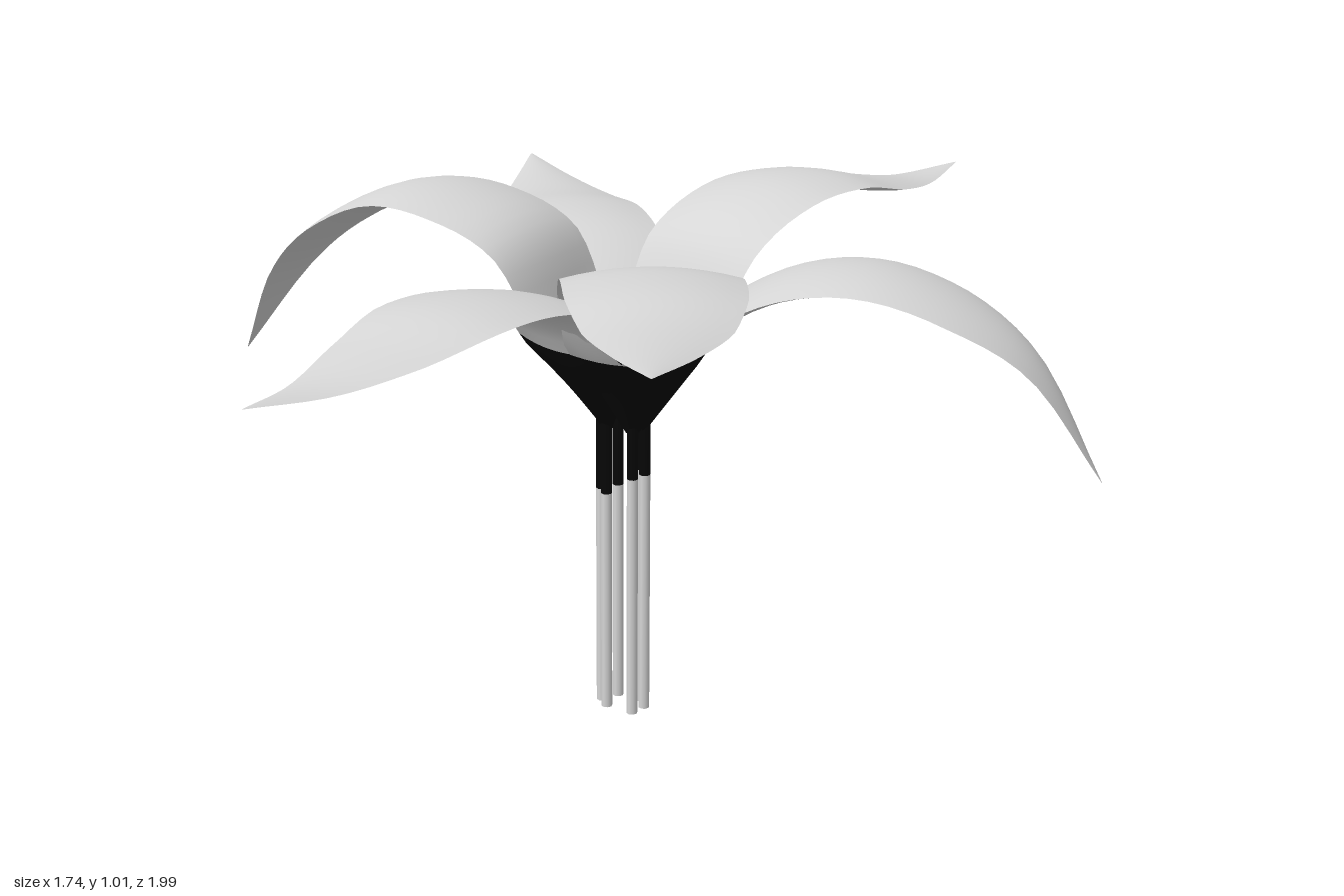
import * as THREE from 'three';

const pale = new THREE.MeshStandardMaterial({ color: 0xd6d6d6, side: THREE.DoubleSide });
pale.name = 'pale grey';
const black = new THREE.MeshStandardMaterial({ color: 0x070707, side: THREE.DoubleSide });
black.name = 'black';

const STEM_TOP = 0.58;
// Fractions of the way out from foot to tip where the midrib is set
const REACH = [0, 0.05, 0.1, 0.18, 0.33, 0.5, 0.68, 0.84, 1];

// foot and tip are [x, z]; heights follow the last six REACH fractions;
// full broadens the outer half; bow bends the midrib sideways
const LEAVES = [
  { name: 'leftArchingLeaf', foot: [-0.035, 0], tip: [-0.87, 0.085], half: 0.16, full: 1, bow: 0,
    heights: [0.925, 0.98, 0.99, 0.925, 0.815, 0.62] },
  { name: 'rightArchingLeaf', foot: [0.055, -0.015], tip: [0.87, -0.27], half: 0.157, full: 1, bow: 0,
    heights: [0.82, 0.89, 0.905, 0.86, 0.77, 0.56] },
  { name: 'frontLeaf', foot: [-0.01, 0.02], tip: [-0.01, 0.99], half: 0.142, full: 0, bow: 0,
    heights: [0.85, 0.897, 0.907, 0.88, 0.864, 0.875] },
  { name: 'backLeaf', foot: [0.03, -0.04], tip: [0.21, -1], half: 0.142, full: 0.2, bow: 0,
    heights: [0.91, 0.975, 0.985, 0.952, 0.936, 0.95] },
  { name: 'frontRightLeaf', foot: [0.05, 0.02], tip: [0.62, 0.83], half: 0.155, full: 0.3, bow: 0.025,
    heights: [0.9, 0.965, 0.978, 0.966, 0.973, 0.99] },
  { name: 'backLeftLeaf', foot: [-0.02, -0.035], tip: [-0.73, -0.73], half: 0.152, full: 0.3, bow: 0,
    heights: [0.79, 0.868, 0.887, 0.878, 0.888, 0.91] },
];

// Lens-section blade: an upper and a lower skin meeting at the edges
function bladeGeometry({ foot, tip, half, full, bow, heights }) {
  const rows = 36, cols = 10, stride = cols + 1;
  const start = new THREE.Vector3(foot[0], 0, foot[1]);
  const end = new THREE.Vector3(tip[0], 0, tip[1]);
  const heading = end.clone().sub(start).normalize();
  const side = new THREE.Vector3(heading.z, 0, -heading.x);

  // Midrib and half-width curves share the same parameter
  const rise = heights[0] - STEM_TOP;
  const ys = [STEM_TOP, STEM_TOP + 0.3 * rise, STEM_TOP + 0.6 * rise, ...heights];
  const widths = [0.08, 0.47, 0.87, 0.98, 1, 0.97, 0.71 + 0.17 * full, 0.35 + 0.18 * full, 0.01];
  const mid = new THREE.CatmullRomCurve3(REACH.map((f, i) => start.clone().lerp(end, f)
    .addScaledVector(side, bow * Math.sin(Math.PI * f)).setY(ys[i])));
  const width = new THREE.CatmullRomCurve3(widths.map(w => new THREE.Vector3(w * half, 0, 0)));

  const pos = [], dark = [], light = [];
  for (const skin of [1, -1]) {
    const first = pos.length / 3;
    for (let i = 0; i <= rows; i++) {
      const t = i / rows, p = mid.getPoint(t), w = Math.max(0.001, width.getPoint(t).x);
      const normal = mid.getTangent(t).cross(side).normalize();
      const curl = 0.3 * w * Math.max(0, 1 - t / 0.4); // cupped near the base
      const bulge = 0.13 * w;
      for (let j = 0; j <= cols; j++) {
        const u = 2 * j / cols - 1;
        const v = p.clone().addScaledVector(side, u * w)
          .addScaledVector(normal, curl * u * u + skin * bulge * (1 - u * u));
        pos.push(v.x, v.y, v.z);
      }
    }
    for (let i = 0; i < rows; i++) {
      const list = mid.getPoint((i + 0.5) / rows).y < 0.76 && i < rows / 2 ? dark : light;
      for (let j = 0; j < cols; j++) {
        const a = first + i * stride + j, b = a + 1, c = a + stride, d = c + 1;
        if (skin > 0) list.push(a, c, b, b, c, d);
        else list.push(a, b, c, b, d, c);
      }
    }
  }
  const geo = new THREE.BufferGeometry();
  geo.setAttribute('position', new THREE.Float32BufferAttribute(pos, 3));
  geo.setIndex([...dark, ...light]);
  geo.addGroup(0, dark.length, 0);
  geo.addGroup(dark.length, light.length, 1);
  geo.computeVertexNormals();
  return geo;
}

// Upright round rod between two heights
function rod(name, [x, z], y0, y1, material) {
  const mesh = new THREE.Mesh(new THREE.CylinderGeometry(0.011, 0.011, y1 - y0, 8), material);
  mesh.position.set(x, (y0 + y1) / 2, z);
  mesh.name = name;
  return mesh;
}

export function createModel() {
  const model = new THREE.Group();
  model.name = 'sixLeafPlant';
  for (const spec of LEAVES) {
    const leaf = new THREE.Group();
    leaf.name = spec.name;
    const blade = new THREE.Mesh(bladeGeometry(spec), [black, pale]);
    blade.name = 'blade';

    // Pale lower stem, black upper stem
    const change = spec.foot[0] > 0 ? 0.49 : 0.45;
    leaf.add(blade,
      rod('lowerStem', spec.foot, 0, change, pale),
      rod('upperStem', spec.foot, change, STEM_TOP + 0.03, black));
    model.add(leaf);
  }
  return model;
}
